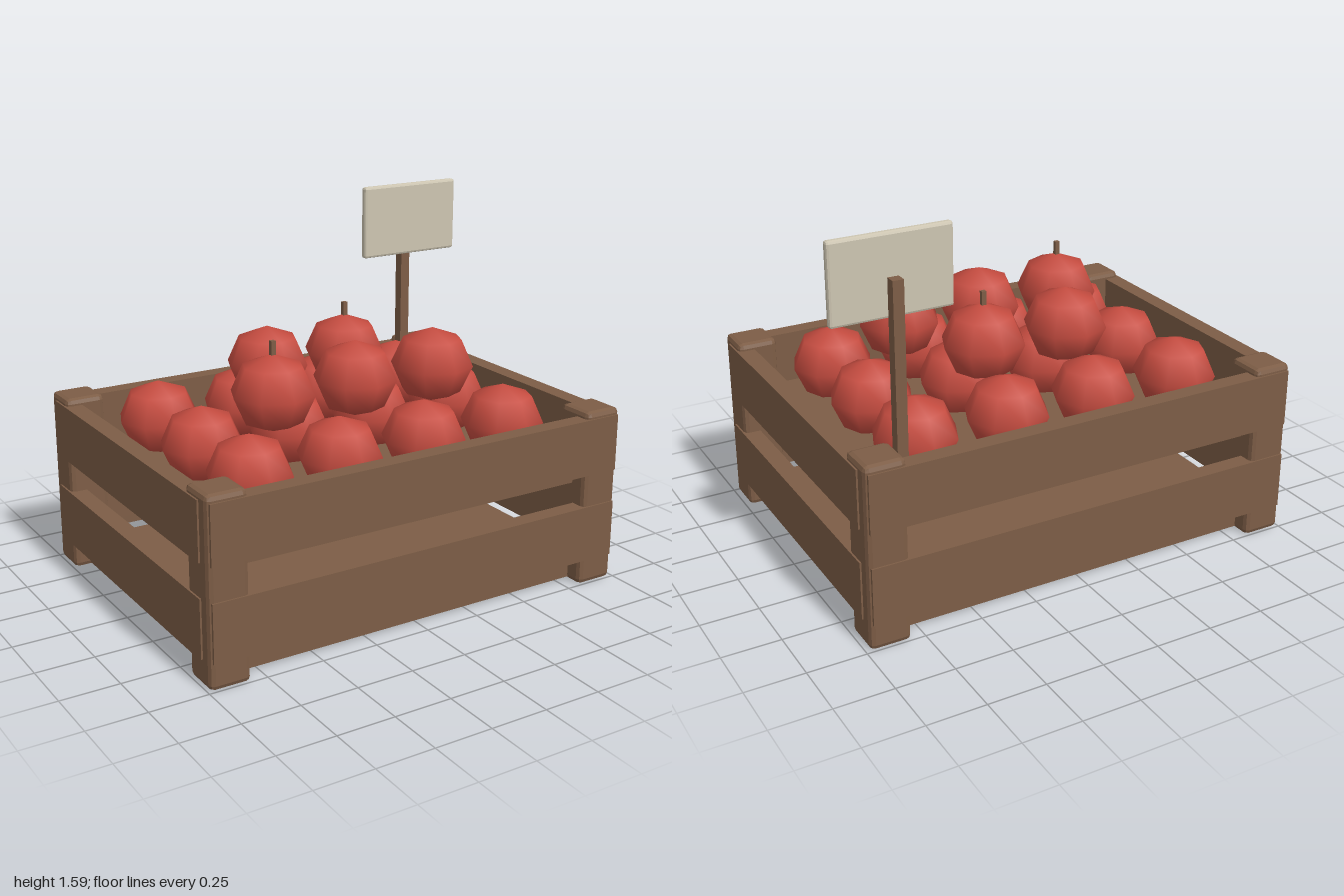
import * as THREE from 'three';
import { RoundedBoxGeometry } from 'three/addons/geometries/RoundedBoxGeometry.js';

const wood = new THREE.MeshStandardMaterial({ color: 0x7d5d46 });
wood.name = 'wood';
const red = new THREE.MeshStandardMaterial({ color: 0xc64c40 });
red.name = 'red skin';
const cream = new THREE.MeshStandardMaterial({ color: 0xcdc5b1 });
cream.name = 'cream board';

export function createModel() {
  const model = new THREE.Group();
  model.name = 'fruitCrate';

  function add(parent, name, geometry, material, x, y, z) {
    const mesh = new THREE.Mesh(geometry, material);
    mesh.name = name;
    mesh.position.set(x, y, z);
    parent.add(mesh);
    return mesh;
  }
  const box = (w, h, d) => new THREE.BoxGeometry(w, h, d);
  // box with one flat bevel along every edge
  function bevelBox(w, h, d, bevel) {
    const g = new RoundedBoxGeometry(w, h, d, 1, bevel);
    g.computeVertexNormals();
    return g;
  }

  // Crate: corner posts, two rows of slats, floor and raised shelf
  const crate = new THREE.Group();
  crate.name = 'crate';
  crate.position.x = -0.005;
  model.add(crate);

  const postGeo = bevelBox(0.175, 0.79, 0.176, 0.022);
  for (const sx of [-1, 1]) {
    for (const sz of [-1, 1]) add(crate, 'cornerPost', postGeo, wood, sx * 0.9, 0.395, sz * 0.66);
  }

  const longSlat = box(1.95, 0.25, 0.075);
  const sideSlat = box(0.078, 0.25, 1.375);
  for (const y of [0.24, 0.635]) {
    for (const s of [-1, 1]) {
      add(crate, s > 0 ? 'frontSlat' : 'backSlat', longSlat, wood, 0, y, s * 0.7175);
      add(crate, s > 0 ? 'leftSlat' : 'rightSlat', sideSlat, wood, s * 0.956, y, 0);
    }
  }

  const panel = box(1.83, 0.078, 1.34);
  add(crate, 'floor', panel, wood, 0, 0.051, 0);
  add(crate, 'shelf', panel, wood, 0, 0.494, 0);

  // Fruit: a full lower layer and five pieces stacked on top
  const fruitGeo = new THREE.SphereGeometry(0.18, 8, 4);
  fruitGeo.scale(1, 0.165 / 0.18, 1);
  const stemGeo = box(0.02, 0.1, 0.02);
  for (const x of [-0.63, -0.215, 0.2, 0.615]) {
    for (const z of [-0.415, 0, 0.41]) add(model, 'lowerFruit', fruitGeo, red, x, 0.7, z);
  }
  const upper = [[-0.4, 0.195], [-0.005, 0.195], [0.39, 0.195], [-0.205, -0.2], [0.19, -0.2]];
  for (const [x, z] of upper) add(model, 'upperFruit', fruitGeo, red, x, 0.935, z);
  for (const [x, z] of [upper[0], upper[4]]) add(model, 'stem', stemGeo, wood, x, 1.105, z);

  // Blank price board on a stake
  const sign = new THREE.Group();
  sign.name = 'sign';
  model.add(sign);
  add(sign, 'stake', box(0.046, 0.91, 0.046), wood, 0.743, 0.965, -0.552);
  add(sign, 'board', bevelBox(0.51, 0.335, 0.035, 0.011), cream, 0.745, 1.4255, -0.512);

  return model;
}
